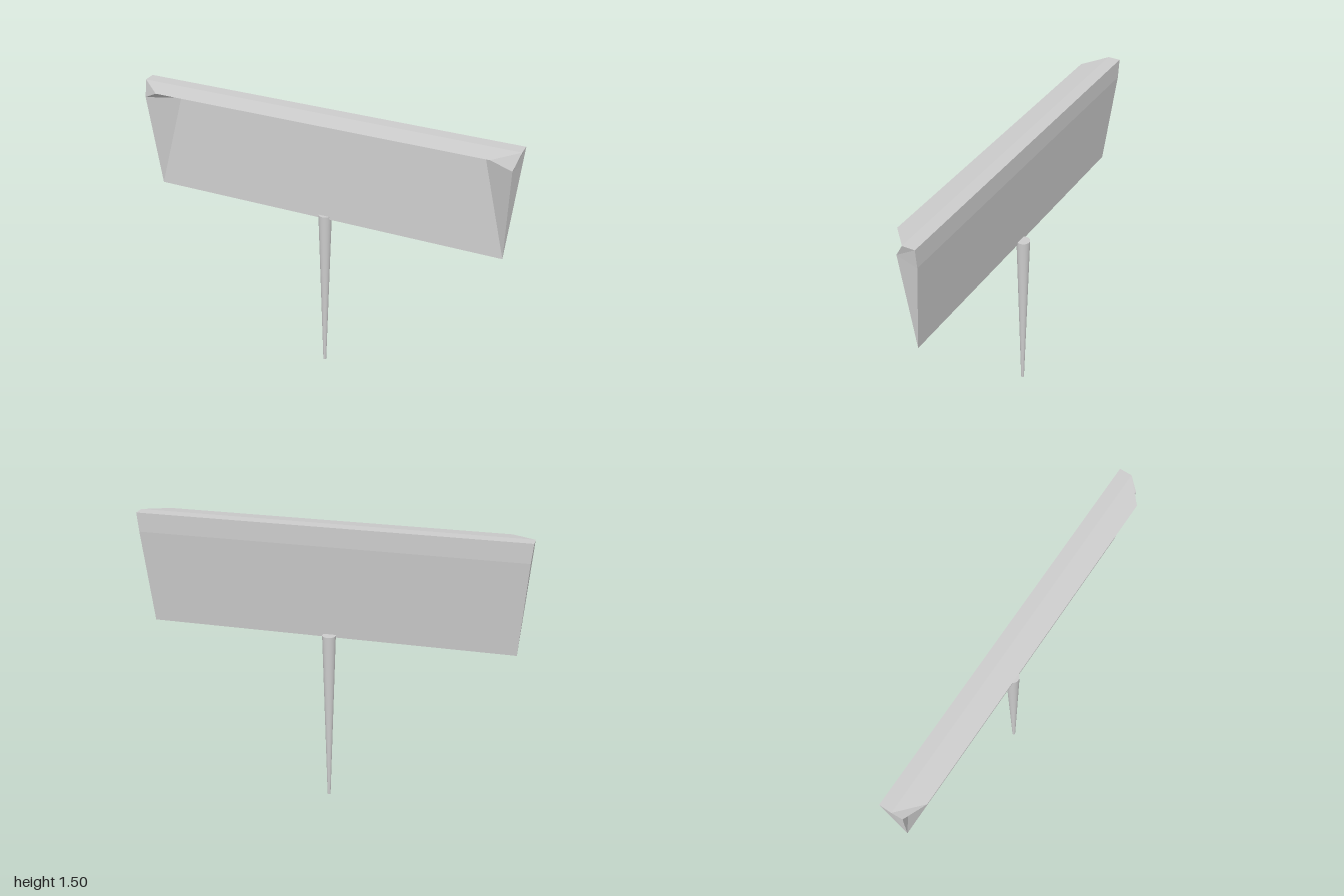
import * as THREE from 'three';

// Corner points of one end of the head; s = 1 is the +x end
function endPoints(s, cornerX, cornerZ) {
  return {
    bottom: [s * 0.95, 0.905, -0.035],
    backLow: [s * 0.99, 1.4, -0.085],
    backTop: [s, 1.5, -0.085],
    sideTop: [s, 1.5, -0.02],
    corner: [s * cornerX, 1.42, cornerZ],
    fold: [s * 0.82, 1.415, -0.06],
    lip: [s * 0.88, 1.485, 0.085],
  };
}

// Flat-sided mesh from convex polygons, each split as a fan
function polygonMesh(name, polygons, material) {
  const positions = [];
  for (const p of polygons) {
    for (let i = 1; i < p.length - 1; i++) positions.push(...p[0], ...p[i], ...p[i + 1]);
  }
  const geometry = new THREE.BufferGeometry();
  geometry.setAttribute('position', new THREE.Float32BufferAttribute(positions, 3));
  geometry.computeVertexNormals();
  const mesh = new THREE.Mesh(geometry, material);
  mesh.name = name;
  return mesh;
}

export function createModel() {
  const model = new THREE.Group();
  model.name = 'postWithWedgeHead';
  const flat = new THREE.MeshStandardMaterial({ color: 0xcccccc, flatShading: true, side: THREE.DoubleSide });
  const smooth = new THREE.MeshStandardMaterial({ color: 0xcccccc });

  // Thin head: recessed front panel, overhanging lip, flared ends
  const r = endPoints(1, 0.975, 0.03);
  const l = endPoints(-1, 0.985, 0.02);
  const polygons = [
    [l.bottom, r.bottom, r.fold, l.fold], // front panel
    [l.fold, r.fold, r.lip, l.lip], // underside of lip
    [l.lip, r.lip, r.sideTop, l.sideTop], // top, front strip
    [l.sideTop, r.sideTop, r.backTop, l.backTop], // top, back strip
    [r.backLow, l.backLow, l.backTop, r.backTop], // back band
    [r.bottom, l.bottom, l.backLow, r.backLow], // back slope
  ];
  for (const e of [r, l]) {
    const endFaces = [
      [e.corner, e.bottom, e.backLow, e.backTop, e.sideTop], // end
      [e.bottom, e.corner, e.fold], // flared cheek
    ];
    // Notch under the lip: open on the +x end, closed on the other
    if (e === r) endFaces.push([e.corner, e.sideTop, e.fold], [e.sideTop, e.lip, e.fold]);
    else endFaces.push([e.corner, e.sideTop, e.lip], [e.corner, e.lip, e.fold]);
    for (const face of endFaces) polygons.push(e === r ? face : face.reverse());
  }
  model.add(polygonMesh('head', polygons, flat));

  // Tapered post
  const post = new THREE.Mesh(new THREE.CylinderGeometry(0.035, 0.008, 0.92, 24), smooth);
  post.name = 'post';
  post.position.set(0, 0.46, -0.052);
  model.add(post);

  return model;
}
